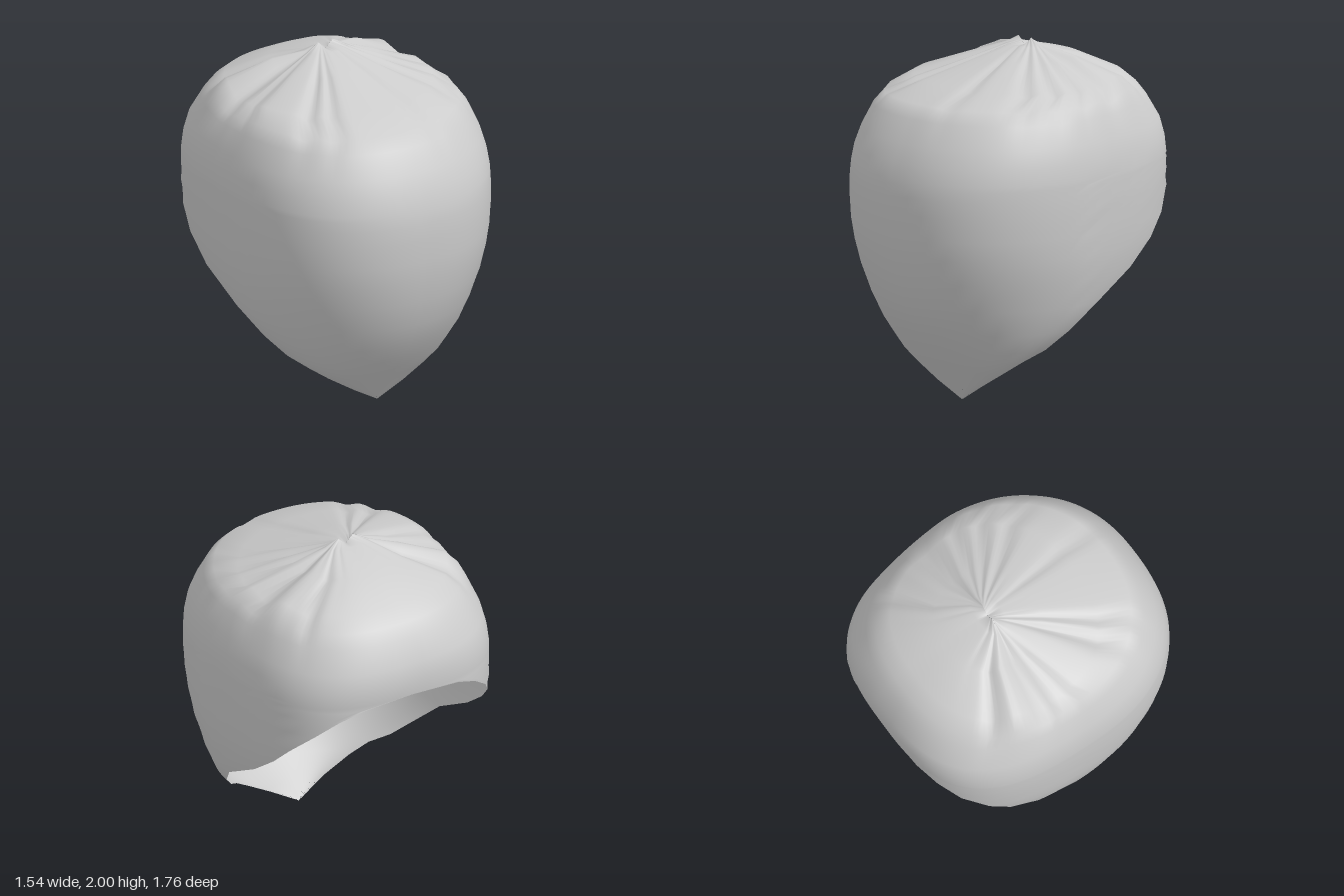
import * as THREE from 'three';
import { mergeVertices } from 'three/addons/utils/BufferGeometryUtils.js';

// cross-sections: height, half width, front z, back z, centre z, z of the open rim
const SECTIONS = [
  [0.00, 0.00, 0.352, 0.35, 0.35, 0.35],
  [0.10, 0.17, 0.43, 0.30, 0.37, 0.37],
  [0.20, 0.33, 0.51, 0.10, 0.35, 0.35],
  [0.27, 0.43, 0.57, 0.00, 0.31, 0.31],
  [0.34, 0.52, 0.62, -0.20, 0.22, 0.22],
  [0.45, 0.61, 0.70, -0.50, 0.12, 0.12],
  [0.60, 0.69, 0.78, -0.80, 0.00, -0.03],
  [0.76, 0.73, 0.83, -0.86, 0.00, -0.30],
  [0.90, 0.75, 0.86, -0.88, 0.00, -0.48],
  [1.02, 0.76, 0.875, -0.88, 0.00, -0.60],
  [1.15, 0.77, 0.88, -0.88, 0.00, -0.73],
  [1.25, 0.77, 0.88, -0.88, 0.00, -0.81],
  [1.31, 0.77, 0.87, -0.88, 0.00, -0.857],
  [1.34, 0.77, 0.865, -0.88, 0.00, -0.88],
  [1.43, 0.76, 0.845, -0.88, 0.00, -0.88],
  [1.53, 0.74, 0.80, -0.865, 0.00, -0.865],
  [1.66, 0.69, 0.73, -0.80, 0.00, -0.80],
  [1.73, 0.65, 0.66, -0.745, -0.02, -0.745],
  [1.80, 0.57, 0.44, -0.66, -0.08, -0.66],
  [1.90, 0.30, 0.13, -0.45, -0.14, -0.45],
  [1.96, 0.13, -0.07, -0.22, -0.155, -0.22],
  [2.00, 0.05, -0.155, -0.156, -0.155, -0.156],
];
const COLUMNS = 128;
// gathered creases around the crown: direction from the front, width, depth (negative is a ridge)
const CREASES = [
  [-2.15, 0.07, 0.03], [-1.93, 0.09, -0.03], [-1.62, 0.12, 0.05], [-1.38, 0.07, 0.03],
  [-0.76, 0.07, 0.035], [-0.55, 0.06, 0.025], [0.22, 0.06, 0.02], [0.78, 0.07, 0.03],
  [1.05, 0.07, 0.035], [1.3, 0.07, 0.035], [1.65, 0.11, 0.045], [1.92, 0.08, -0.02], [2.25, 0.07, 0.03],
];

const power = (v, e) => Math.sign(v) * Math.pow(Math.abs(v), e);
const { lerp, smoothstep } = THREE.MathUtils;

// depth of the pleats at a direction and height
function pleat(angle, y) {
  const amount = smoothstep(y, 1.6, 1.8) * (1 - smoothstep(y, 1.86, 2));
  let depth = 0;
  for (const [a, width, d] of CREASES) depth += d * Math.exp(-(((angle - a) / width) ** 2));
  return amount * depth;
}

function shellGeometry() {
  const positions = [];
  const index = [];
  for (const [y, w, front, back, c, rim] of SECTIONS) {
    // squareness of the section, softer at the tip and the crown
    const soften = smoothstep(y, 1.3, 1.8);
    const frontPower = lerp(1.8, 2.4, Math.min(y, 1)) - 0.15 * soften;
    const backPower = lerp(frontPower, 2.9, smoothstep(y, 0.5, 1.1)) - 0.4 * soften;
    // each section sweeps round from the front until it meets the rim
    const reach = Math.min(1, Math.max(0, (c - rim) / (c - back || 1)));
    const limit = Math.acos(-Math.pow(reach, backPower / 2));
    for (let i = 0; i <= COLUMNS; i++) {
      const phi = limit * (2 * i / COLUMNS - 1);
      const cos = Math.cos(phi);
      // the left front is a little rounder than the right
      const n = cos < 0 ? backPower : frontPower - (phi > 0 ? 0.15 * Math.min(y, 1) : 0);
      const z = c + power(cos, 2 / n) * (cos >= 0 ? front - c : c - back);
      // the left side is slightly flattened towards the back
      const flatten = phi > 0 ? 1 - 0.045 * (1 - smoothstep(z, -0.4, 0.15)) : 1;
      const x = w * flatten * power(Math.sin(phi), 2 / n);
      // small notch in the middle of the crown
      const notch = y > 1.98 ? 0.05 * (1 - Math.abs(x) / w) : 0;
      positions.push(x, y - notch - pleat(Math.atan2(x, z + 0.155), y), z);
    }
  }
  const stride = COLUMNS + 1;
  for (let j = 0; j < SECTIONS.length - 1; j++) {
    for (let i = 0; i < COLUMNS; i++) {
      const a = j * stride + i;
      const d = a + stride;
      if (j > 0) index.push(a, a + 1, d + 1); // the first section is a single tip
      index.push(a, d + 1, d);
    }
  }
  const geometry = new THREE.BufferGeometry();
  geometry.setAttribute('position', new THREE.Float32BufferAttribute(positions, 3));
  geometry.setIndex(index);
  const welded = mergeVertices(geometry, 1e-4);
  welded.computeVertexNormals();
  return welded;
}

export function createModel() {
  const group = new THREE.Group();
  group.name = 'gatheredHood';
  const lightGrey = new THREE.MeshStandardMaterial({ color: 0xcccccc, side: THREE.DoubleSide });
  lightGrey.name = 'lightGrey';
  const shell = new THREE.Mesh(shellGeometry(), lightGrey);
  shell.name = 'hoodShell';
  group.add(shell);
  return group;
}
